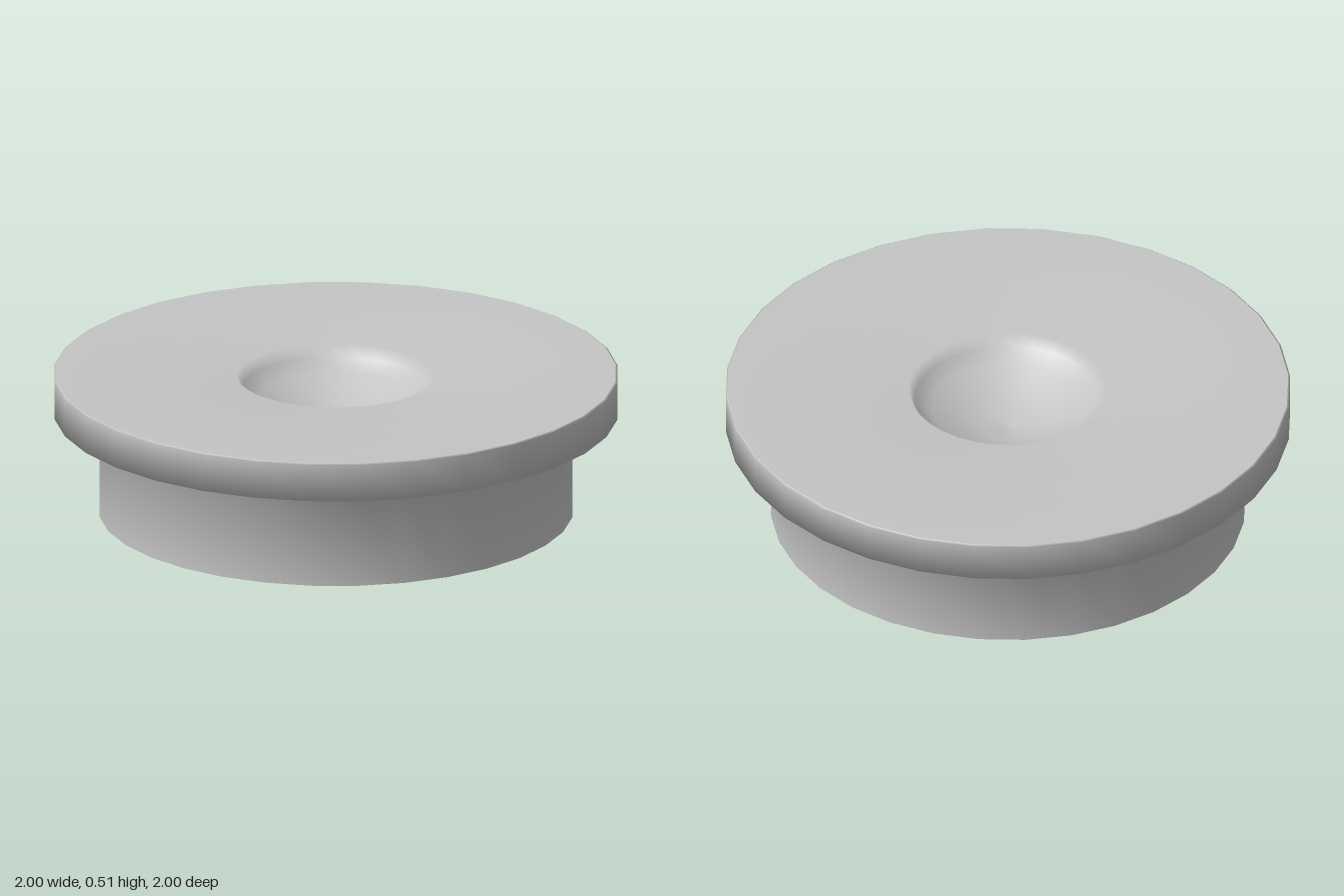
import * as THREE from 'three';

const SEGMENTS = 32;

// Smooth surface of revolution from [radius, height] pairs
function revolve(name, profile, material) {
  const points = profile.map(([r, y]) => new THREE.Vector2(r, y));
  const mesh = new THREE.Mesh(new THREE.LatheGeometry(points, SEGMENTS), material);
  mesh.name = name;
  return mesh;
}

export function createModel() {
  const group = new THREE.Group();
  group.name = 'flangedCap';

  const grey = new THREE.MeshStandardMaterial({ color: 0xc4c4c4, side: THREE.DoubleSide });
  grey.name = 'light grey';

  // Open, hollow collar running into the flange and its rim
  group.add(revolve('collarAndRim', [
    [0.84, 0], [0.84, 0.345], [1, 0.37], [1, 0.505], [0.993, 0.51],
  ], grey));

  // Top plate sinking into a rounded central dimple
  group.add(revolve('dishedTop', [
    [0.993, 0.51], [0.35, 0.5], [0.33, 0.455], [0.27, 0.42],
    [0.18, 0.375], [0.09, 0.345], [0, 0.335],
  ], grey));

  return group;
}
